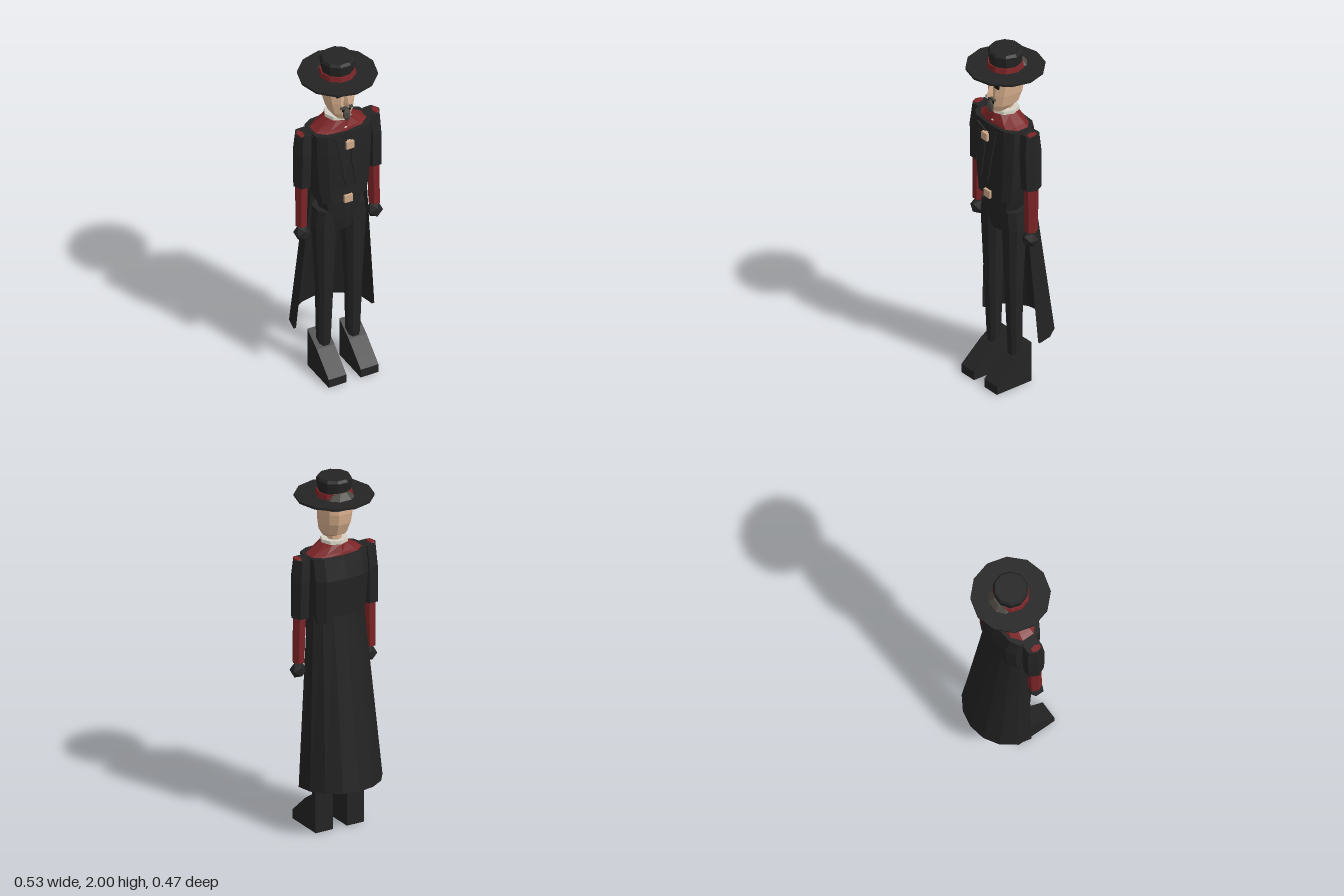
import * as THREE from 'three';

const mat = (name, color, side = THREE.FrontSide) => {
  const m = new THREE.MeshStandardMaterial({ color, flatShading: true, side });
  m.name = name;
  return m;
};

// Horizontal ring: half width rx, front and back z; pw < 1 makes it boxier
function ring(y, rx, zf, zb, n, { cx = 0, phase = 0, pw = 1 } = {}) {
  const c = (zf + zb) / 2, rz = (zf - zb) / 2;
  const bend = v => Math.sign(v) * Math.pow(Math.abs(v), pw);
  return Array.from({ length: n }, (_, i) => {
    const t = phase + (i / n) * Math.PI * 2;
    return [cx + rx * bend(Math.sin(t)), y, c + rz * bend(Math.cos(t))];
  });
}

// Skin rings from bottom to top; closed rings also get end caps
function loft(rings, closed = true) {
  const p = [], n = rings[0].length;
  const tri = (a, b, c) => p.push(...a, ...b, ...c);
  for (let k = 0; k < rings.length - 1; k++) {
    const a = rings[k], b = rings[k + 1];
    for (let i = 0; i < (closed ? n : n - 1); i++) {
      const j = (i + 1) % n;
      tri(a[i], a[j], b[j]);
      tri(a[i], b[j], b[i]);
    }
  }
  if (closed) {
    const lo = rings[0], hi = rings[rings.length - 1];
    for (let i = 1; i < n - 1; i++) {
      tri(lo[0], lo[i + 1], lo[i]);
      tri(hi[0], hi[i], hi[i + 1]);
    }
  }
  const g = new THREE.BufferGeometry();
  g.setAttribute('position', new THREE.Float32BufferAttribute(p, 3));
  g.computeVertexNormals();
  return g;
}

// Flat outline extruded along z by depth d
function plate(points, d) {
  const s = new THREE.Shape(points.map(q => new THREE.Vector2(...q)));
  return new THREE.ExtrudeGeometry(s, { depth: d, bevelEnabled: false });
}

export function createModel() {
  const root = new THREE.Group();
  const black = mat('black cloth', 0x242424);
  const coatMat = mat('black coat', 0x222222, THREE.DoubleSide);
  const red = mat('dark red', 0x7c2426);
  const skin = mat('skin', 0xd9b08e);
  const white = mat('collar white', 0xd6d2c4, THREE.DoubleSide);
  const tan = mat('buckle tan', 0xcfa888);
  const hairMat = mat('grey hair', 0x4c4842);
  const dark = mat('eye black', 0x121212);

  const add = (name, geo, m, x = 0, y = 0, z = 0) => {
    const mesh = new THREE.Mesh(geo, m);
    mesh.name = name;
    mesh.position.set(x, y, z);
    root.add(mesh);
    return mesh;
  };
  const box = (name, w, h, d, m, x, y, z) => add(name, new THREE.BoxGeometry(w, h, d), m, x, y, z);

  // Hat
  const hz = 0.023;
  add('hatBrim', new THREE.CylinderGeometry(0.213, 0.213, 0.012, 12), black, 0, 1.889, hz);
  add('hatBand', new THREE.CylinderGeometry(0.096, 0.102, 0.03, 10), red, 0, 1.908, hz).rotation.y = Math.PI / 10;
  [['hatCrown', 0.096, 0.088, 0.066, 1.952], ['hatTop', 0.086, 0.096, 0.015, 1.9925]].forEach(([name, rt, rb, h, y]) => {
    add(name, new THREE.CylinderGeometry(rt, rb, h, 10), black, 0, y, hz).rotation.y = Math.PI / 10;
  });

  // Head, neck and hair
  const hp = { phase: Math.PI / 10, pw: 0.85 };
  add('head', loft([
    ring(1.65, 0.04, 0.115, 0.02, 10, hp),
    ring(1.685, 0.066, 0.122, -0.05, 10, hp),
    ring(1.75, 0.08, 0.122, -0.075, 10, hp),
    ring(1.81, 0.086, 0.117, -0.083, 10, hp),
    ring(1.885, 0.083, 0.11, -0.08, 10, hp),
  ]), skin);
  add('neck', new THREE.CylinderGeometry(0.04, 0.042, 0.1, 8), skin, 0, 1.65, 0.02);
  add('hair', loft([
    ring(1.838, 0.08, 0.0, -0.092, 8, { phase: Math.PI / 8, pw: 0.85 }),
    ring(1.895, 0.08, 0.04, -0.1, 8, { phase: Math.PI / 8, pw: 0.85 }),
    ring(1.93, 0.05, 0.02, -0.075, 8, { phase: Math.PI / 8 }),
  ]), hairMat);

  // Face
  add('nose', loft([
    [[-0.018, 1.745, 0.112], [0, 1.74, 0.15], [0.018, 1.745, 0.112]],
    [[-0.016, 1.765, 0.112], [0, 1.76, 0.15], [0.016, 1.765, 0.112]],
    [[-0.007, 1.82, 0.11], [0, 1.82, 0.12], [0.007, 1.82, 0.11]],
  ]), skin);
  for (const s of [1, -1]) {
    box('eye', 0.034, 0.022, 0.009, dark, s * 0.037, 1.81, 0.112);
    box('eyebrow', 0.042, 0.008, 0.012, hairMat, s * 0.036, 1.834, 0.109);
    add('moustache', plate([[0, 1.738], [s * 0.036, 1.732], [s * 0.036, 1.722], [0, 1.724]], 0.014), hairMat, 0, 0, 0.116).material = hairMat;
  }
  box('mouth', 0.05, 0.01, 0.009, dark, 0, 1.708, 0.119);
  add('goatee', loft([
    ring(1.648, 0.01, 0.135, 0.115, 6),
    ring(1.67, 0.022, 0.142, 0.11, 6),
    ring(1.7, 0.022, 0.138, 0.11, 6),
    ring(1.72, 0.01, 0.128, 0.112, 6),
  ]), hairMat);

  // Collar and shoulder cape
  add('collar', loft([
    ring(1.59, 0.045, 0.118, -0.025, 8),
    ring(1.622, 0.046, 0.09, -0.03, 8),
    ring(1.63, 0.076, 0.1, -0.052, 8),
    ring(1.648, 0.074, 0.096, -0.05, 8),
  ]), white);
  add('shoulderCape', loft([
    ring(1.56, 0.182, 0.122, -0.066, 10, { pw: 0.8 }),
    ring(1.585, 0.135, 0.116, -0.06, 10, { pw: 0.85 }),
    ring(1.628, 0.072, 0.1, -0.045, 10),
  ]), red);

  // Jacket, hips and front trim
  const tp = { pw: 0.65 };
  add('jacket', loft([
    ring(1.13, 0.145, 0.138, -0.075, 12, tp),
    ring(1.22, 0.162, 0.137, -0.085, 12, tp),
    ring(1.45, 0.178, 0.14, -0.102, 12, tp),
    ring(1.572, 0.18, 0.135, -0.075, 12, tp),
  ]), black);
  add('hips', loft([
    ring(0.92, 0.055, 0.095, -0.01, 8, tp),
    ring(1.0, 0.095, 0.108, -0.04, 8, tp),
    ring(1.14, 0.138, 0.115, -0.06, 8, tp),
  ]), black);
  for (const s of [1, -1]) {
    const lapel = add('lapel', plate([[s * 0.08, 1.565], [s * 0.012, 1.535], [s * 0.01, 1.42], [s * 0.03, 1.25], [s * 0.05, 1.4]], 0.008), black, 0, 0, 0.345);
    lapel.rotation.x = 0.06 * -1;
    lapel.position.z = 0.235;
  }
  box('clasp', 0.046, 0.044, 0.025, tan, 0, 1.508, 0.155);
  box('beltBuckle', 0.048, 0.044, 0.02, tan, 0, 1.15, 0.141);

  // Long coat skirt, open at the front, with a thick hem
  const arc = (y, rx, zb, z0) => Array.from({ length: 9 }, (_, i) => {
    const t = Math.PI * (0.5 + i / 8);
    return [rx * Math.sin(t), y, z0 + (z0 - zb) * Math.cos(t)];
  });
  add('coatSkirt', loft([
    arc(1.24, 0.15, -0.07, 0.02), arc(0.28, 0.228, -0.222, -0.015),
    arc(0.28, 0.242, -0.236, -0.015), arc(1.24, 0.17, -0.09, 0.02),
  ], false), coatMat);

  // Arms, legs and boots
  for (const s of [1, -1]) {
    const arm = { phase: Math.PI / 6 };
    const hex = (y, cx, r, zf, zb) => ring(y, r, zf, zb, 6, { ...arm, cx: s * cx });
    add('upperArm', loft([
      hex(1.24, 0.213, 0.05, 0.078, -0.036),
      hex(1.45, 0.21, 0.05, 0.084, -0.042),
      hex(1.57, 0.202, 0.05, 0.07, -0.03),
    ]), black);
    add('shoulderTrim', loft([hex(1.565, 0.226, 0.02, 0.06, -0.01), hex(1.575, 0.226, 0.018, 0.055, -0.005)]), red);
    add('forearm', loft([
      hex(0.98, 0.219, 0.034, 0.062, -0.012),
      hex(1.26, 0.215, 0.037, 0.062, -0.02),
    ]), red);
    add('hand', new THREE.IcosahedronGeometry(0.046, 0), black, s * 0.217, 0.93, 0.03);

    const leg = (y, cx, r, zf, zb) => ring(y, r, zf, zb, 8, { cx: s * cx, phase: Math.PI / 8, pw: 0.8 });
    add('leg', loft([
      leg(0.15, 0.088, 0.036, 0.065, -0.008),
      leg(0.55, 0.087, 0.047, 0.083, -0.012),
      leg(0.95, 0.088, 0.066, 0.098, -0.03),
      leg(1.06, 0.08, 0.064, 0.1, -0.04),
    ]), black);

    const boot = plate([[-0.2, 0], [0.035, 0], [0.035, 0.235], [-0.07, 0.165], [-0.15, 0.095], [-0.2, 0.05]], 0.106);
    boot.rotateY(Math.PI / 2);
    // Side profile was drawn with the toe at negative x, now facing forward
    add('boot', boot, black, s * 0.096 - 0.053, 0, 0);
  }
  return root;
}
